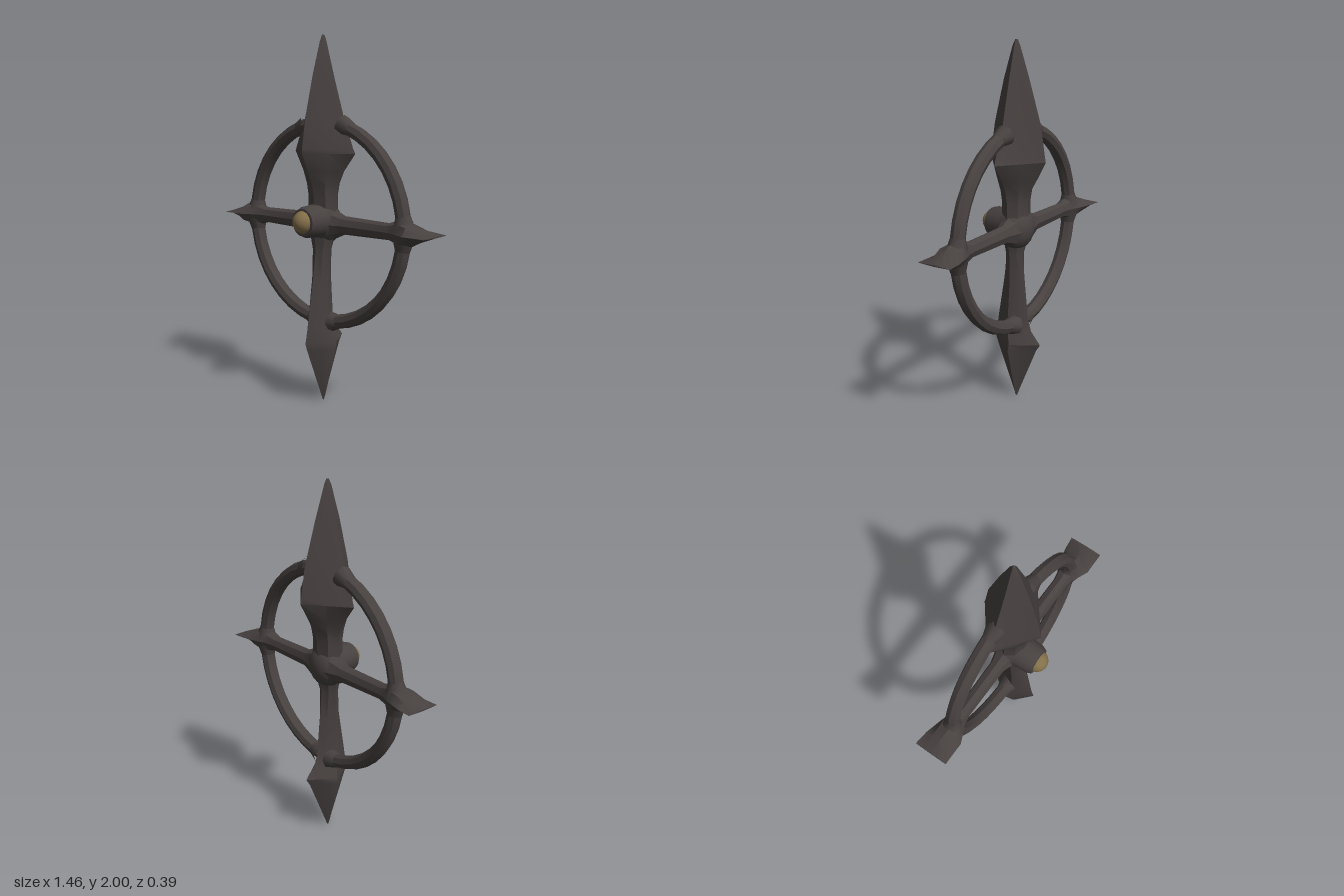
import * as THREE from 'three';
import { toCreasedNormals } from 'three/addons/utils/BufferGeometryUtils.js';

const iron = new THREE.MeshStandardMaterial({ color: 0x474140 });
iron.name = 'dark iron';
const brass = new THREE.MeshStandardMaterial({ color: 0x83704a });
brass.name = 'aged brass';

const RING_Z = -0.026;

// Eight-sided loft along y. Section: [y, halfWidth, zFront, zBack, fullness]
// fullness 0.5 gives a diamond, 0.71 a round section.
function loft(sections) {
  const points = [], index = [], n = 8;
  for (const [y, hx, front, back, full] of sections) {
    const zc = (front + back) / 2, hz = (front - back) / 2;
    for (let k = 0; k < n; k++) {
      const a = (k / n) * Math.PI * 2;
      const s = k % 2 ? full / Math.SQRT1_2 : 1;
      points.push(Math.cos(a) * hx * s, y, zc + Math.sin(a) * hz * s);
    }
  }
  for (let i = 0; i < sections.length - 1; i++) {
    for (let k = 0; k < n; k++) {
      const a = i * n + k, b = i * n + (k + 1) % n;
      index.push(a, a + n, b + n, a, b + n, b);
    }
  }
  const geometry = new THREE.BufferGeometry();
  geometry.setAttribute('position', new THREE.Float32BufferAttribute(points, 3));
  geometry.setIndex(index);
  return toCreasedNormals(geometry, 0.5);
}

export function createModel() {
  const model = new THREE.Group();
  model.name = 'ringedCross';

  const add = (name, geometry, material = iron) => {
    const mesh = new THREE.Mesh(geometry, material);
    mesh.name = name;
    model.add(mesh);
    return mesh;
  };

  // Large diamond blade with its waisted neck
  add('upperBlade', loft([
    [0.98, 0.09, 0.05, -0.09, 0.7],
    [1.08, 0.092, 0.055, -0.085, 0.7],
    [1.16, 0.092, 0.06, -0.088, 0.68],
    [1.22, 0.105, 0.075, -0.105, 0.64],
    [1.29, 0.145, 0.105, -0.145, 0.58],
    [1.385, 0.22, 0.147, -0.195, 0.5],
    [1.41, 0.208, 0.147, -0.19, 0.5],
    [1.57, 0.142, 0.122, -0.165, 0.5],
    [1.8, 0.072, 0.064, -0.095, 0.5],
    [1.97, 0.02, 0.01, -0.037, 0.55],
    [2.0, 0.007, -0.006, -0.022, 0.6],
    [2.0, 0, -0.014, -0.014, 0.6],
  ]));

  // Lower shaft widening into the small pointed blade
  add('lowerBlade', loft([
    [0, 0, -0.015, -0.015, 0.5],
    [0.003, 0.005, -0.01, -0.02, 0.5],
    [0.04, 0.018, 0.004, -0.034, 0.5],
    [0.31, 0.092, 0.112, -0.145, 0.5],
    [0.35, 0.09, 0.126, -0.17, 0.52],
    [0.42, 0.066, 0.112, -0.112, 0.58],
    [0.48, 0.058, 0.103, -0.092, 0.6],
    [0.7, 0.05, 0.066, -0.07, 0.62],
    [0.86, 0.057, 0.045, -0.056, 0.66],
    [0.92, 0.072, 0.05, -0.07, 0.68],
    [1.0, 0.095, 0.05, -0.09, 0.7],
  ]));

  // Cross arms ending in flat, flared chisel blades
  const armSections = [
    [0.05, 0.092, 0.055, -0.095, 0.71],
    [0.1, 0.072, 0.035, -0.08, 0.71],
    [0.15, 0.05, 0.017, -0.067, 0.71],
    [0.45, 0.044, 0.014, -0.064, 0.71],
    [0.5, 0.06, 0.022, -0.072, 0.71],
    [0.55, 0.068, 0.045, -0.092, 0.7],
    [0.6, 0.06, 0.067, -0.105, 0.64],
    [0.65, 0.034, 0.066, -0.118, 0.58],
    [0.73, 0.004, 0.066, -0.127, 0.55],
    [0.73, 0, -0.03, -0.03, 0.55],
  ];
  for (const [name, side] of [['leftArm', 1], ['rightArm', -1]]) {
    const arm = add(name, loft(armSections));
    arm.rotation.z = -side * Math.PI / 2;
    arm.position.y = 1.003;
  }

  // Ring through all four limbs
  add('ring', toCreasedNormals(new THREE.TorusGeometry(0.543, 0.039, 8, 40), 0.6))
    .position.set(0, 1.0, RING_Z);

  // Thickened ring ends where it runs into each limb: [angle, limb offset]
  const joints = [[0, 0.11], [Math.PI, 0.11], [-Math.PI / 2, 0.14], [Math.PI / 2, 0.3]];
  for (const [angle, offset] of joints) {
    for (const side of [1, -1]) {
      const a = angle + side * offset;
      const flare = add('ringJoint', toCreasedNormals(
        new THREE.CylinderGeometry(0.036, 0.058, 0.075, 8, 1, true), 0.8));
      flare.position.set(Math.cos(a) * 0.543, 1 + Math.sin(a) * 0.543, RING_Z);
      flare.rotation.z = a + (side > 0 ? 0 : Math.PI);
    }
  }

  // Rounded hub at the crossing
  const hub = add('hub', new THREE.SphereGeometry(0.115, 16, 10));
  hub.scale.z = 0.75;
  hub.position.set(0, 1.005, -0.02);

  // Raised socket facing the front
  const profile = [[0.105, 0], [0.09, 0.05], [0.085, 0.12], [0.075, 0.145], [0.055, 0.148], [0, 0.14]];
  const socket = add('socket', toCreasedNormals(
    new THREE.LatheGeometry(profile.map(([r, y]) => new THREE.Vector2(r, y)), 16), 0.6));
  socket.rotation.x = Math.PI / 2;
  socket.position.y = 1.02;

  // Brass stud in the socket
  add('stud', new THREE.SphereGeometry(0.062, 18, 12), brass).position.set(0, 1.022, 0.134);

  return model;
}
